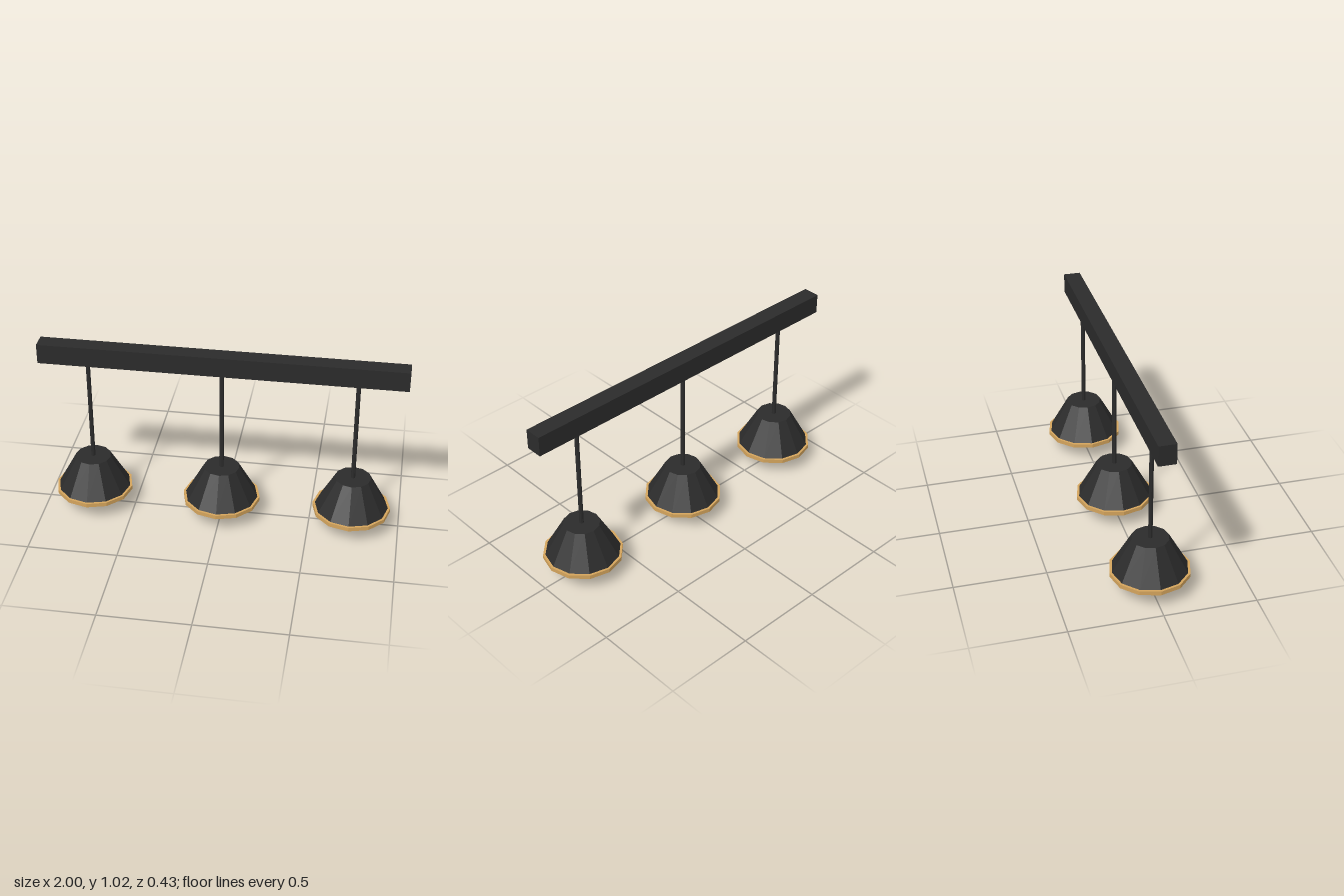
import * as THREE from 'three';

const black = new THREE.MeshStandardMaterial({ color: 0x2b2b2b, flatShading: true });
black.name = 'matte black';
const brass = new THREE.MeshStandardMaterial({ color: 0xd4a45c, flatShading: true });
brass.name = 'brass';

function part(name, geometry, material, y) {
  const mesh = new THREE.Mesh(geometry, material);
  mesh.name = name;
  mesh.position.y = y;
  return mesh;
}

// Cylinder or cone frustum standing between two heights
function frustum(name, rTop, rBottom, y0, y1, sides, material) {
  return part(name, new THREE.CylinderGeometry(rTop, rBottom, y1 - y0, sides), material, (y0 + y1) / 2);
}

// One hanging lamp: rod, shade, rim and squashed bulb
function createPendant(x) {
  const pendant = new THREE.Group();
  pendant.name = 'pendant';
  pendant.position.x = x;
  pendant.add(
    frustum('rod', 0.012, 0.012, 0.3, 0.91, 8, black),
    frustum('shade', 0.1, 0.205, 0.114, 0.305, 12, black),
    frustum('rim', 0.217, 0.217, 0.093, 0.116, 12, brass),
    part('bulb', new THREE.SphereGeometry(0.072, 12, 6).scale(1, 0.73, 1), brass, 0.0526),
  );
  return pendant;
}

export function createModel() {
  const model = new THREE.Group();
  model.name = 'pendantLight';
  // Ceiling bar
  model.add(part('ceilingBar', new THREE.BoxGeometry(2, 0.112, 0.094), black, 0.961));
  for (const x of [-0.733, 0, 0.733]) model.add(createPendant(x));
  return model;
}
